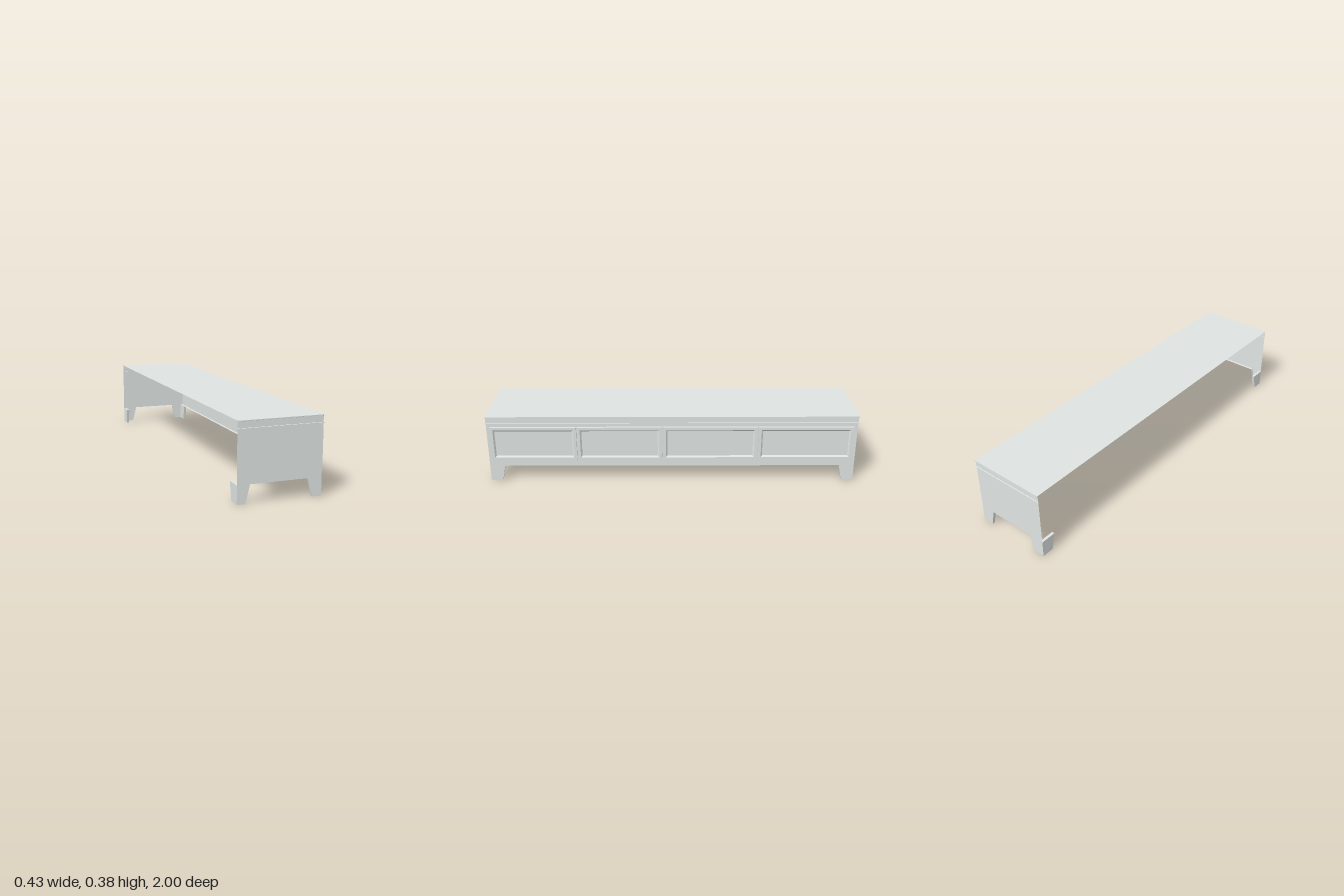
import * as THREE from 'three';

const BACK = -0.216, FRONT = 0.203, END = 0.996, APRON = 0.089, BOARD = 0.015;

// Flat-shaded geometry from a list of four-corner faces
function quads(list) {
  const pos = [];
  for (const [a, b, c, d] of list) pos.push(...a, ...b, ...c, ...a, ...c, ...d);
  const g = new THREE.BufferGeometry();
  g.setAttribute('position', new THREE.Float32BufferAttribute(pos, 3));
  g.computeVertexNormals();
  return g;
}

function polygon(points) {
  return new THREE.Shape(points.map(([x, y]) => new THREE.Vector2(x, y)));
}

// Outline of the gap between the two feet of an end panel
function cutOut(side) {
  return side > 0
    ? [[-0.175, 0], [-0.153, APRON], [0.135, APRON], [0.157, 0]]
    : [[-0.155, 0], [-0.133, APRON], [0.123, APRON], [0.145, 0]];
}

// Thin end board standing on two tapered feet
function endPanel(side) {
  const g = new THREE.ShapeGeometry(polygon([
    [BACK, 0], ...cutOut(side), [FRONT, 0], [FRONT, 0.34], [BACK, 0.34],
  ]));
  return g.translate(0, 0, side * END);
}

// Returned edge running along the cut-out of an end panel
function endReturn(side) {
  const p = cutOut(side), z0 = side * END, z1 = side * (END - BOARD);
  const faces = [0, 1, 2].map((i) => [
    [...p[i], z0], [...p[i], z1], [...p[i + 1], z1], [...p[i + 1], z0],
  ]);
  return quads(side > 0 ? faces : faces.map((f) => f.reverse()));
}

// Tapered foot plate lying across the front or back of a corner
function footPlate(side, x) {
  const g = new THREE.ExtrudeGeometry(polygon([
    [-side * END, 0], [-side * 0.933, 0], [-side * 0.914, APRON], [-side * END, APRON],
  ]), { depth: BOARD, bevelEnabled: false });
  return g.rotateY(Math.PI / 2).translate(x, 0, 0);
}

// Drawer front: raised frame sloping down to a sunken field
function drawerFront(z0, z1) {
  const y0 = 0.129, y1 = 0.322;
  const loops = [[0, FRONT], [0, 0.216], [0.016, 0.216], [0.024, 0.208]].map(([i, x]) => [
    [x, y0 + i, z1 - i], [x, y0 + i, z0 + i], [x, y1 - i, z0 + i], [x, y1 - i, z1 - i],
  ]);
  const faces = [loops[3]];
  for (let n = 0; n < 3; n++) {
    for (let k = 0; k < 4; k++) {
      const m = (k + 1) % 4;
      faces.push([loops[n][k], loops[n][m], loops[n + 1][m], loops[n + 1][k]]);
    }
  }
  return quads(faces);
}

// Moulding around the two ends and the front, open at the back
function moulding() {
  const profile = [[0, 0.34], [0.004, 0.34], [0.004, 0.344], [0.001, 0.345],
    [0.001, 0.375], [0.004, 0.376], [0.004, 0.38]];
  const rings = profile.map(([o, y]) => [
    [BACK, y, END + o], [FRONT + o, y, END + o],
    [FRONT + o, y, -END - o], [BACK, y, -END - o],
  ]);
  const faces = [];
  for (let n = 0; n < rings.length - 1; n++) {
    const a = rings[n], b = rings[n + 1];
    for (let k = 0; k < 3; k++) faces.push([a[k], a[k + 1], b[k + 1], b[k]]);
  }
  return quads(faces);
}

export function createModel() {
  const model = new THREE.Group();
  model.name = 'lowCabinet';
  // Two-sided because the shell is open at the back and below
  const paint = new THREE.MeshStandardMaterial({ color: 0xdfe4e2, side: THREE.DoubleSide });
  paint.name = 'pale grey paint';
  const add = (name, geometry) => {
    const mesh = new THREE.Mesh(geometry, paint);
    mesh.name = name;
    model.add(mesh);
  };

  // Top and moulding
  const width = FRONT + 0.004 - BACK;
  add('top', new THREE.PlaneGeometry(width, 2).rotateX(-Math.PI / 2)
    .translate(BACK + width / 2, 0.38, 0));
  add('topMoulding', moulding());

  // Front board and the returned edge under its apron
  const height = 0.34 - APRON;
  add('frontPanel', new THREE.PlaneGeometry(2 * END, height).rotateY(Math.PI / 2)
    .translate(FRONT, APRON + height / 2, 0));
  add('apronReturn', new THREE.PlaneGeometry(BOARD, 1.828).rotateX(Math.PI / 2)
    .translate(FRONT - BOARD / 2, APRON, 0));

  // Ends and corner feet
  for (const side of [1, -1]) {
    const label = side > 0 ? 'A' : 'B';
    add('endPanel' + label, endPanel(side));
    add('endReturn' + label, endReturn(side));
    add('frontFoot' + label, footPlate(side, FRONT - BOARD));
    add('backFoot' + label, footPlate(side, BACK));
  }

  // Four drawers
  const edges = [0.979, 0.513, 0.052, -0.462, -0.977];
  for (let i = 0; i < 4; i++) {
    add('drawerFront' + (i + 1), drawerFront(edges[i + 1] + 0.002, edges[i] - 0.002));
  }
  return model;
}
